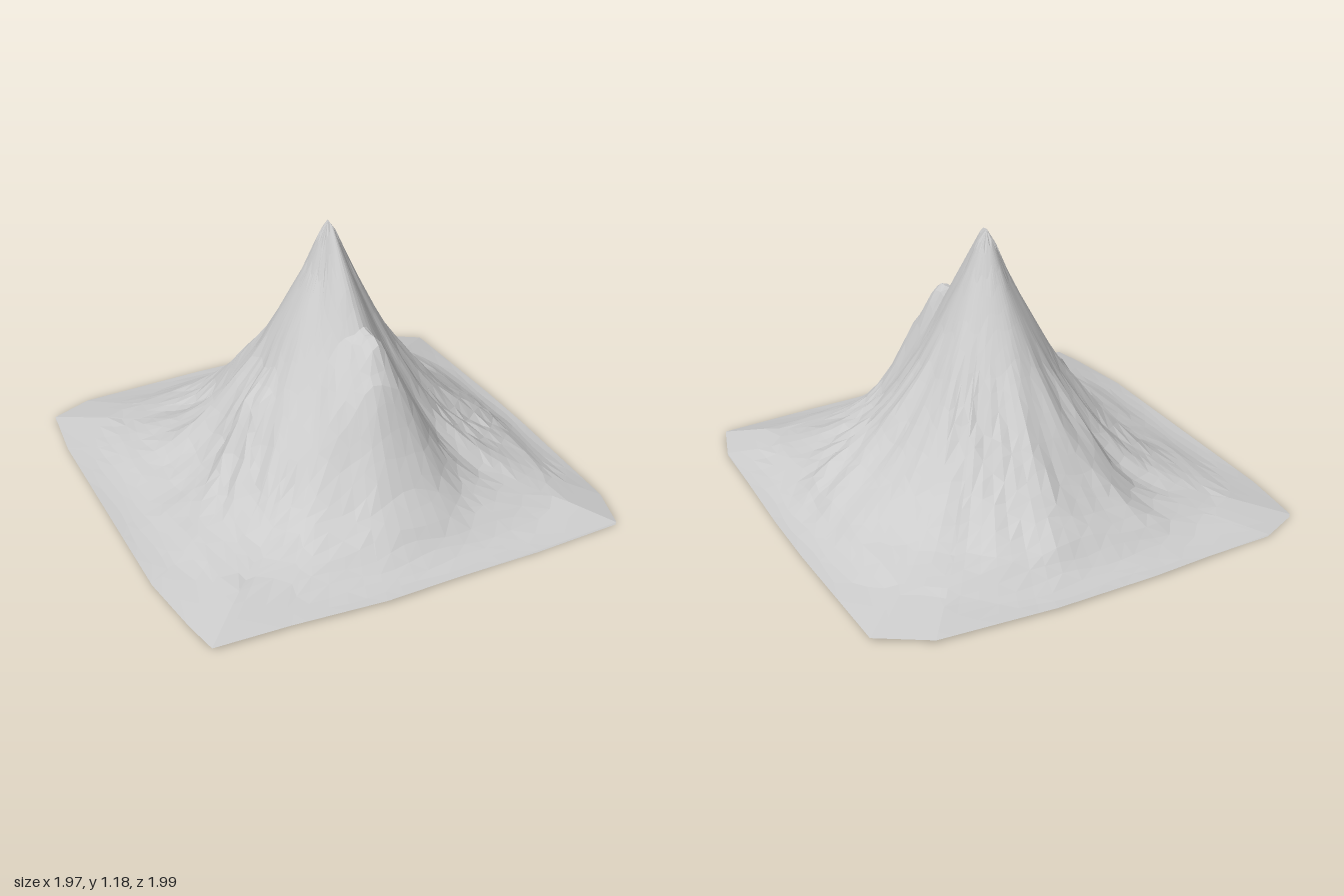
import * as THREE from 'three';

const { lerp, smoothstep, clamp } = THREE.MathUtils;
const RINGS = 24, PEAK_X = 0.02, TURN = Math.PI * 2;

// Rounded-square footprint (x, z)
const OUTLINE = [
  [-0.96, -0.89], [-0.78, -0.97], [-0.2, -1], [0.25, -1], [0.75, -0.96], [0.96, -0.83],
  [0.98, -0.2], [0.98, 0.1], [0.96, 0.75], [0.9, 0.95], [0.5, 0.97], [-0.2, 0.99],
  [-0.6, 0.96], [-0.92, 0.95], [-0.95, 0.8], [-0.99, 0.5], [-0.99, -0.6],
];

// Height at every 0.1 of distance from the peak, for eight directions from +x towards +z
const SLOPES = [
  [1.23, 0.98, 0.77, 0.59, 0.45, 0.33, 0.24, 0.17, 0.1, 0.05, 0.015],
  [1.23, 0.98, 0.78, 0.6, 0.45, 0.33, 0.24, 0.17, 0.13, 0.1, 0.075],
  [1.23, 1.09, 0.95, 0.79, 0.74, 0.65, 0.43, 0.25, 0.13, 0.065, 0.015],
  [1.23, 0.98, 0.82, 0.67, 0.52, 0.38, 0.27, 0.19, 0.13, 0.095, 0.07],
  [1.23, 0.96, 0.77, 0.57, 0.44, 0.28, 0.17, 0.1, 0.06, 0.035, 0.015],
  [1.23, 0.97, 0.78, 0.59, 0.44, 0.31, 0.21, 0.14, 0.1, 0.075, 0.055],
  [1.23, 1.01, 0.84, 0.69, 0.57, 0.45, 0.32, 0.21, 0.125, 0.06, 0.015],
  [1.23, 1.0, 0.82, 0.66, 0.5, 0.38, 0.27, 0.19, 0.13, 0.1, 0.07],
];

// Local bumps: x, z, height, radius
const KNOBS = [
  [0.05, 0.38, 0.06, 0.07], // front shoulder
  [-0.42, 0.13, 0.06, 0.07], // side crag
  [-0.3, 0.4, 0.03, 0.09],
  [0.33, 0.4, -0.03, 0.12], // hollow beside the shoulder
];

// Distance from the peak to the footprint edge in one direction
function reach(angle) {
  const dx = Math.cos(angle), dz = Math.sin(angle);
  let best = 1;
  OUTLINE.forEach(([ax, az], i) => {
    const [bx, bz] = OUTLINE[(i + 1) % OUTLINE.length];
    const ex = bx - ax, ez = bz - az, px = ax - PEAK_X;
    const det = dx * ez - dz * ex;
    const t = (px * ez - az * ex) / det;
    const s = (px * dz - az * dx) / det;
    if (t > 0 && s >= -1e-6 && s <= 1 + 1e-6) best = t;
  });
  return best;
}

function slopeHeight(slope, r) {
  const f = Math.min(r * 10, 9.999), i = Math.floor(f);
  return lerp(slope[i], slope[i + 1], f - i);
}

// Radial ribs and gullies, strongest half way down and faint on the front apron
function ribs(angle, r) {
  const a = angle + 0.08 * Math.sin(7 * r + 3 * angle);
  const wave = 0.45 * Math.sin(9 * a + 1)
    + 0.5 * Math.sin(16 * a + 2 * r) * Math.sin(6 * r + 5 * a)
    + 0.4 * Math.sin(23 * a + 3 * r + 2) * Math.cos(8 * r + 3 * a);
  const apron = Math.exp(-(((angle - 1.35) / 0.5) ** 2));
  const fade = smoothstep(r, 0.15, 0.5) * (1 - smoothstep(r, 0.55, 0.95));
  return 0.034 * wave * fade * (1 - 0.75 * apron);
}

function height(angle, r, edge) {
  const f = (angle / TURN) * 8, i = Math.floor(f) % 8;
  const t = smoothstep(f - Math.floor(f), 0, 1);
  const d = Math.hypot(r, 0.021); // blunts the tip
  let y = lerp(slopeHeight(SLOPES[i], d), slopeHeight(SLOPES[(i + 1) % 8], d), t);
  y += ribs(angle, r);
  const x = PEAK_X + r * Math.cos(angle), z = r * Math.sin(angle);
  for (const [kx, kz, h, size] of KNOBS) {
    y += h * Math.exp(-((x - kx) ** 2 + (z - kz) ** 2) / size ** 2);
  }
  // run straight down to the ground at the rim
  return Math.max(0.01, lerp(y, 0.01, clamp((r / edge - 0.8) / 0.2, 0, 1)));
}

function mountainGeometry() {
  // even spokes, plus one through each corner of the footprint
  const spokes = Array.from({ length: 84 }, (_, j) => (j / 84) * TURN);
  for (const [x, z] of OUTLINE) spokes.push((Math.atan2(z, x - PEAK_X) + TURN) % TURN);
  spokes.sort((a, b) => a - b);
  const count = spokes.length;

  const pos = [PEAK_X, 1.18, 0], index = [];
  for (let k = 1; k <= RINGS; k++) {
    for (const angle of spokes) {
      const edge = reach(angle);
      // wavering rings keep the facets uneven
      const shift = k < RINGS ? 0.2 * Math.sin(13 * angle + k * 1.7) : 0;
      const r = edge * (k + shift) / RINGS;
      pos.push(PEAK_X + r * Math.cos(angle), height(angle, r, edge), r * Math.sin(angle));
    }
  }
  const at = (k, j) => 1 + (k - 1) * count + (j % count);
  for (let j = 0; j < count; j++) {
    index.push(0, at(1, j + 1), at(1, j));
    for (let k = 1; k < RINGS; k++) {
      const a = at(k, j), b = at(k, j + 1), c = at(k + 1, j + 1), d = at(k + 1, j);
      if ((j + k) % 2) index.push(a, b, c, a, c, d);
      else index.push(a, b, d, b, c, d);
    }
  }
  const g = new THREE.BufferGeometry();
  g.setAttribute('position', new THREE.Float32BufferAttribute(pos, 3));
  g.setIndex(index);
  g.computeVertexNormals();
  return g;
}

// Flat underside patch at a corner, given as (x, z) points
function patchGeometry(points) {
  const shape = new THREE.Shape(points.map(([x, z]) => new THREE.Vector2(x, z)));
  return new THREE.ShapeGeometry(shape).rotateX(Math.PI / 2);
}

export function createModel() {
  const group = new THREE.Group();
  group.name = 'mountain';
  const rock = new THREE.MeshStandardMaterial({
    color: 0xcccccc, side: THREE.DoubleSide, flatShading: true,
  });

  const slopes = new THREE.Mesh(mountainGeometry(), rock);
  slopes.name = 'mountainSlopes';
  group.add(slopes);

  // Partial floor left under two opposite corners
  const corners = [
    [[0.97, 0.05], [0.96, 0.75], [0.9, 0.95], [0.5, 0.97], [-0.15, 0.97], [0.66, 0.66]],
    [[-0.04, -0.98], [-0.78, -0.97], [-0.96, -0.89], [-0.98, -0.27], [-0.78, -0.7]],
  ];
  corners.forEach((points, i) => {
    const floor = new THREE.Mesh(patchGeometry(points), rock);
    floor.name = i ? 'backFloor' : 'frontFloor';
    group.add(floor);
  });
  return group;
}
